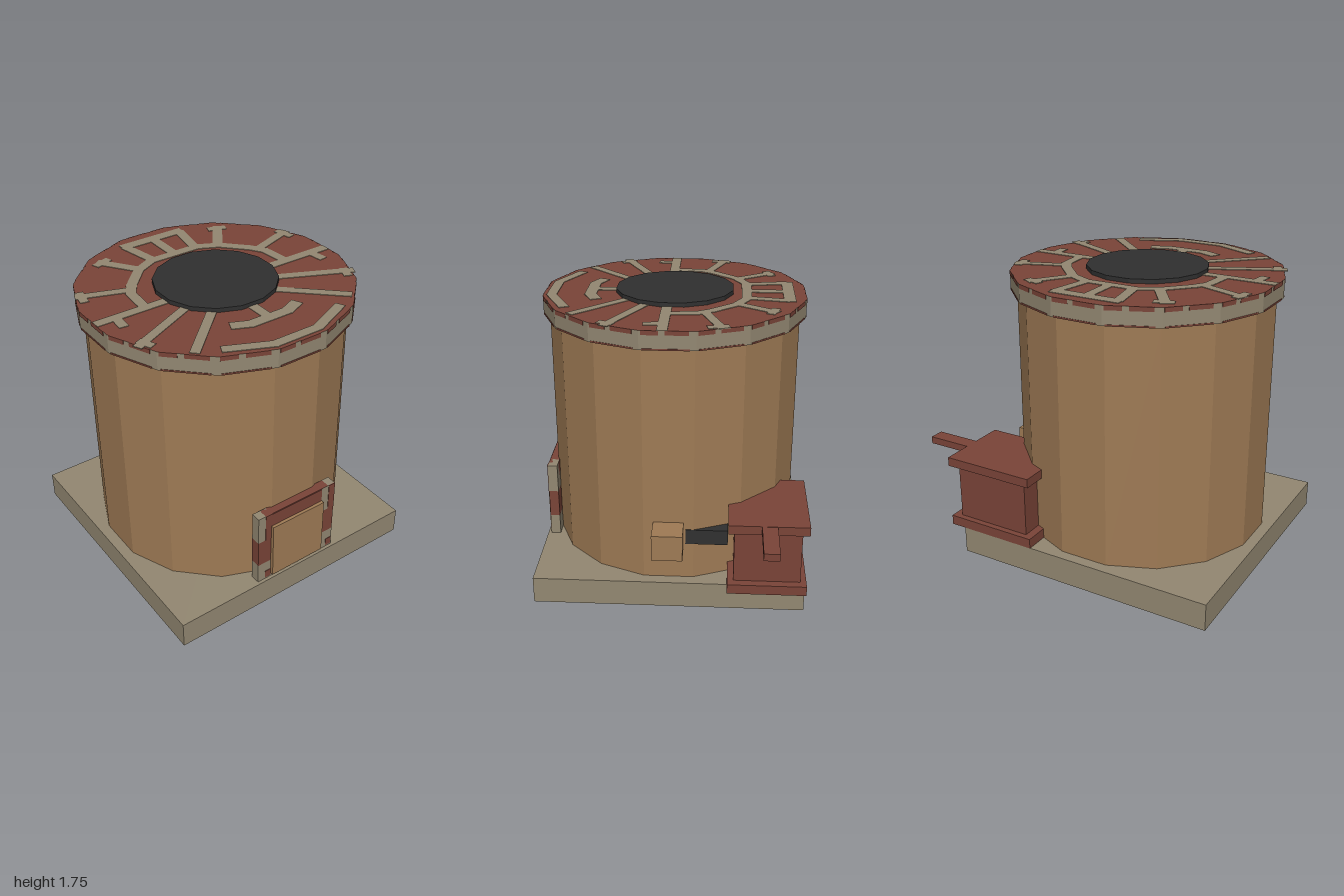
import * as THREE from 'three';

export function createModel() {
  const mat = (name, color) => {
    const m = new THREE.MeshStandardMaterial({ color });
    m.name = name;
    m.flatShading = true;
    return m;
  };
  const clay = mat('clay', 0x9f7b55);
  const brick = mat('brick', 0x7a4438);
  const mortar = mat('mortar', 0x938872);
  const soot = mat('soot', 0x303030);

  const model = new THREE.Group();
  const CX = -0.19, SIDES = 16, HALF = Math.PI / SIDES;

  const group = (name, parent = model) => {
    const g = new THREE.Group();
    g.name = name;
    parent.add(g);
    return g;
  };
  // Box given by its minimum and maximum corners
  const box = (name, m, [x0, y0, z0], [x1, y1, z1], parent = model) => {
    const mesh = new THREE.Mesh(new THREE.BoxGeometry(x1 - x0, y1 - y0, z1 - z0), m);
    mesh.position.set((x0 + x1) / 2, (y0 + y1) / 2, (z0 + z1) / 2);
    mesh.name = name;
    parent.add(mesh);
    return mesh;
  };
  // Sixteen-sided drum with flat faces on the axes; r is the distance to a face
  const drum = (name, m, r, y0, y1) => {
    const R = r / Math.cos(HALF);
    const mesh = new THREE.Mesh(
      new THREE.CylinderGeometry(R, R, y1 - y0, SIDES, 1, false, HALF), m);
    mesh.position.set(CX, (y0 + y1) / 2, 0);
    mesh.name = name;
    model.add(mesh);
  };

  box('basePlinth', mortar, [-1, 0, -0.81], [0.625, 0.165, 0.81]);
  drum('kilnBody', clay, 0.743, 0.165, 1.61);
  drum('lid', [mortar, brick, brick], 0.78, 1.61, 1.72);
  drum('topOpening', soot, 0.35, 1.72, 1.745);

  // Mortar joints on the lid: [width, x, z, x, z, ...] around the lid centre
  const joints = group('lidJoints');
  joints.position.set(CX, 1.721, 0);
  const stroke = ([w, ...p]) => {
    for (let i = 0; i + 3 < p.length; i += 2) {
      const dx = p[i + 2] - p[i], dz = p[i + 3] - p[i + 1];
      const seg = new THREE.Mesh(
        new THREE.BoxGeometry(Math.hypot(dx, dz) + w * 0.4, 0.005, w), mortar);
      seg.position.set(p[i] + dx / 2, 0, p[i + 1] + dz / 2);
      seg.rotation.y = -Math.atan2(dz, dx);
      seg.name = 'joint';
      joints.add(seg);
    }
  };
  // Joints found on both halves
  for (const s of [1, -1]) {
    [
      [0.06, 0, -0.43, 0.16, -0.43, 0.28, -0.37, 0.41, -0.23, 0.46, -0.15, 0.475, 0.02],
      [0.06, 0.27, -0.37, 0.42, -0.59],
      [0.05, 0.36, -0.59, 0.45, -0.56],
      [0.055, 0.44, -0.19, 0.72, -0.29],
      [0.05, 0.69, -0.32, 0.71, -0.22],
      [0.06, 0.35, 0.03, 0.77, 0.03],
      [0.055, 0.66, 0.04, 0.67, 0.13],
      [0.055, 0.31, 0.16, 0.71, 0.35],
      [0.05, 0.65, 0.38, 0.68, 0.31],
      [0.055, 0.22, 0.28, 0.51, 0.56],
      [0.06, 0.15, -0.45, 0.19, -0.67],
      [0.07, 0, -0.68, 0.2, -0.68],
      [0.07, 0, 0.5, 0.12, 0.5, 0.21, 0.46],
      [0.06, 0, 0.73, 0.14, 0.73, 0.38, 0.62],
    ].forEach(([w, ...p]) => stroke([w, ...p.map((v, i) => (i % 2 ? v : v * s))]));
  }
  stroke([0.06, 0, -0.68, 0, -0.43]);
  stroke([0.06, 0, 0.35, 0, 0.5]);

  // Brick edges showing along the rim of the lid
  const rim = group('rimBricks');
  rim.position.x = CX;
  for (let i = 0; i < SIDES; i++) {
    const face = group('rimFace', rim);
    face.rotation.y = i * 2 * HALF;
    box('rimTopBrick', brick, [-0.145, 1.695, 0.778], [-0.05, 1.7205, 0.783], face);
    box('rimTopBrick', brick, [-0.015, 1.695, 0.778], [0.115, 1.7205, 0.783], face);
    box('rimBottomEdge', brick, [-0.14, 1.6095, 0.778], [0.12, 1.619, 0.783], face);
  }

  // Fire door with its brick surround
  const door = group('fireDoor');
  box('sill', mortar, [-0.375, 0.165, 0.73], [-0.005, 0.2, 0.79], door);
  box('lintel', brick, [-0.415, 0.56, 0.73], [0.04, 0.65, 0.79], door);
  for (const [x0, x1, outer] of [[-0.465, -0.375, -0.465], [-0.005, 0.09, 0.045]]) {
    box('lowerPost', mortar, [x0, 0.165, 0.73], [x1, 0.295, 0.79], door);
    box('middlePost', brick, [x0, 0.295, 0.73], [x1, 0.47, 0.79], door);
    box('upperPost', mortar, [x0, 0.47, 0.73], [x1, 0.65, 0.79], door);
    // Brick showing beside the mortar on the post fronts
    const b0 = outer < -0.4 ? -0.415 : outer;
    box('postBrick', brick, [b0, 0.47, 0.788], [b0 + 0.045, 0.65, 0.793], door);
    box('postBrick', brick, [b0, 0.175, 0.788], [b0 + 0.04, 0.225, 0.793], door);
  }
  box('lintelFace', brick, [-0.415, 0.56, 0.788], [-0.01, 0.645, 0.793], door);
  box('doorPanel', clay, [-0.375, 0.19, 0.74], [-0.005, 0.56, 0.812], door);

  // Outlet block and flue on the left side
  box('outletBlock', clay, [0.5, 0.375, -0.09], [0.717, 0.535, 0.09]);
  box('flue', soot, [0.35, 0.395, -0.35], [0.557, 0.49, -0.1]);

  // Side firebox with slab lid and handle
  const fire = group('firebox');
  box('fireboxFoot', brick, [0.14, 0.165, -0.813], [0.717, 0.225, -0.35], fire);
  box('fireboxBody', brick, [0.19, 0.225, -0.777], [0.667, 0.565, -0.386], fire);
  box('fireboxLid', brick, [0.14, 0.565, -0.813], [0.717, 0.62, -0.35], fire);
  box('fireboxHandle', brick, [0.65, 0.574, -0.63], [1, 0.618, -0.54], fire);

  return model;
}
